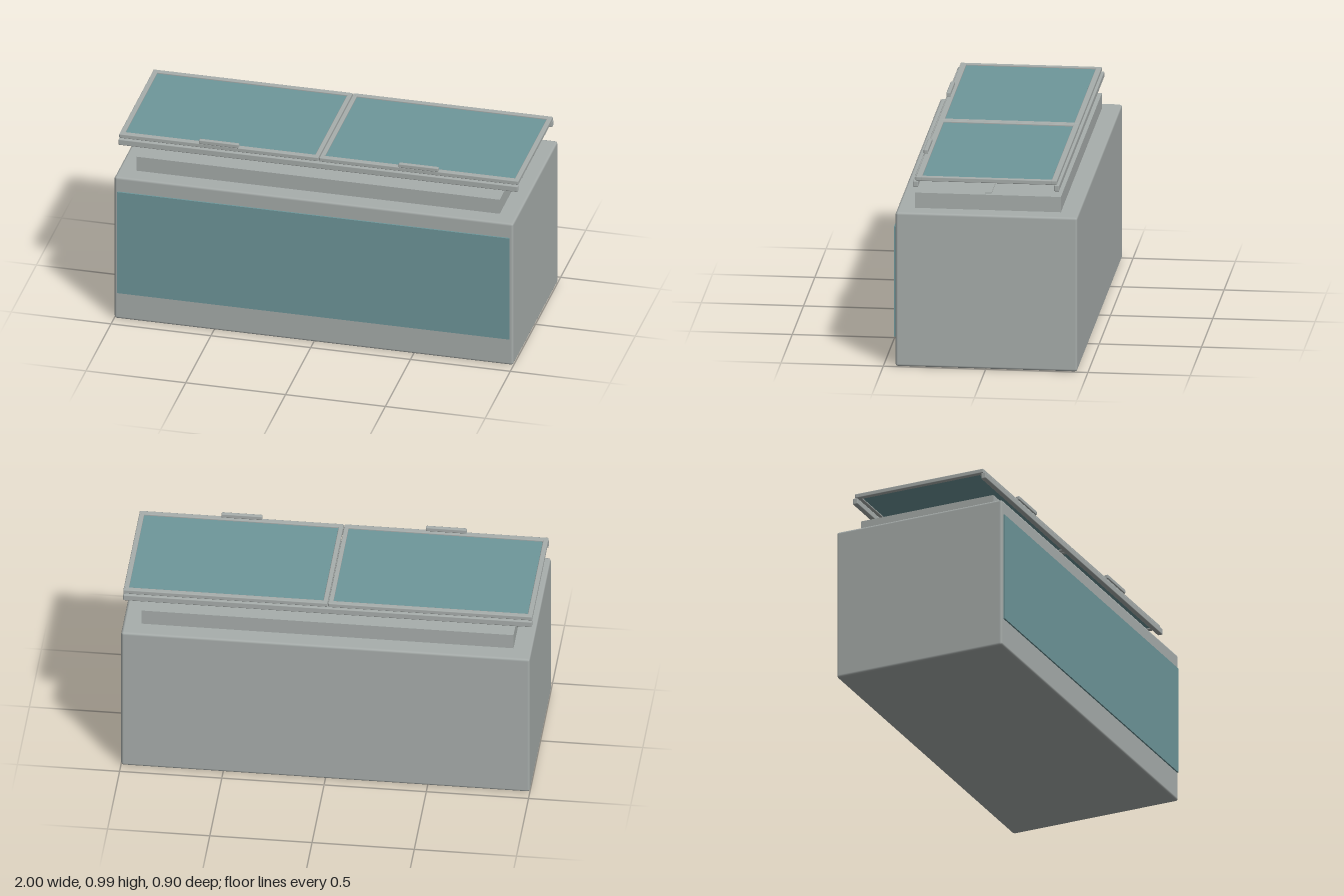
import * as THREE from 'three';
import { RoundedBoxGeometry } from 'three/addons/geometries/RoundedBoxGeometry.js';

export function createModel() {
  const grey = new THREE.MeshStandardMaterial({ color: 0xa8aeac });
  grey.name = 'greyMetal';
  const teal = new THREE.MeshStandardMaterial({ color: 0x6e979b });
  teal.name = 'tealGlass';

  const model = new THREE.Group();
  model.name = 'chestFreezer';

  // Box between two corners, with chamfered edges when bevel is above zero
  function box(parent, name, material, [x0, x1], [y0, y1], [z0, z1], bevel = 0) {
    const size = [x1 - x0, y1 - y0, z1 - z0];
    const geometry = bevel
      ? new RoundedBoxGeometry(...size, 1, bevel)
      : new THREE.BoxGeometry(...size);
    const mesh = new THREE.Mesh(geometry, material);
    mesh.name = name;
    mesh.position.set((x0 + x1) / 2, (y0 + y1) / 2, (z0 + z1) / 2);
    parent.add(mesh);
  }

  // Cabinet, raised rim and front panel
  box(model, 'cabinet', grey, [-1, 1], [0, 0.78], [-0.448, 0.442], 0.013);
  box(model, 'frontPanel', teal, [-0.982, 0.982], [0.146, 0.702], [0.441, 0.45]);
  box(model, 'raisedRim', grey, [-0.91, 0.91], [0.77, 0.857], [-0.358, 0.354]);
  box(model, 'rimDivider', grey, [-0.89, 0.89], [0.85, 0.862], [-0.017, 0.016]);

  // Rails under the long edges of the lids
  box(model, 'frontRail', grey, [-1, 1], [0.91, 0.942], [0.33, 0.356], 0.005);
  box(model, 'backRail', grey, [-1, 1], [0.91, 0.942], [-0.36, -0.334], 0.005);

  // Two framed lids, each with a glass pane and a handle
  for (const side of [-1, 1]) {
    const lid = new THREE.Group();
    lid.name = side < 0 ? 'rightLid' : 'leftLid';
    const span = (a, b) => (side < 0 ? [-b, -a] : [a, b]);
    const frameY = [0.942, 0.964];
    box(lid, 'frontFrame', grey, span(0.002, 1), frameY, [0.312, 0.342], 0.004);
    box(lid, 'backFrame', grey, span(0.002, 1), frameY, [-0.348, -0.32], 0.004);
    box(lid, 'outerFrame', grey, span(0.975, 1), frameY, [-0.325, 0.318], 0.004);
    box(lid, 'innerFrame', grey, span(0.002, 0.025), frameY, [-0.325, 0.318], 0.004);
    box(lid, 'glass', teal, span(0.02, 0.98), [0.949, 0.957], [-0.328, 0.318]);
    box(lid, 'handle', grey, span(0.4, 0.6), [0.963, 0.985], [0.326, 0.347], 0.005);
    model.add(lid);
  }

  return model;
}
